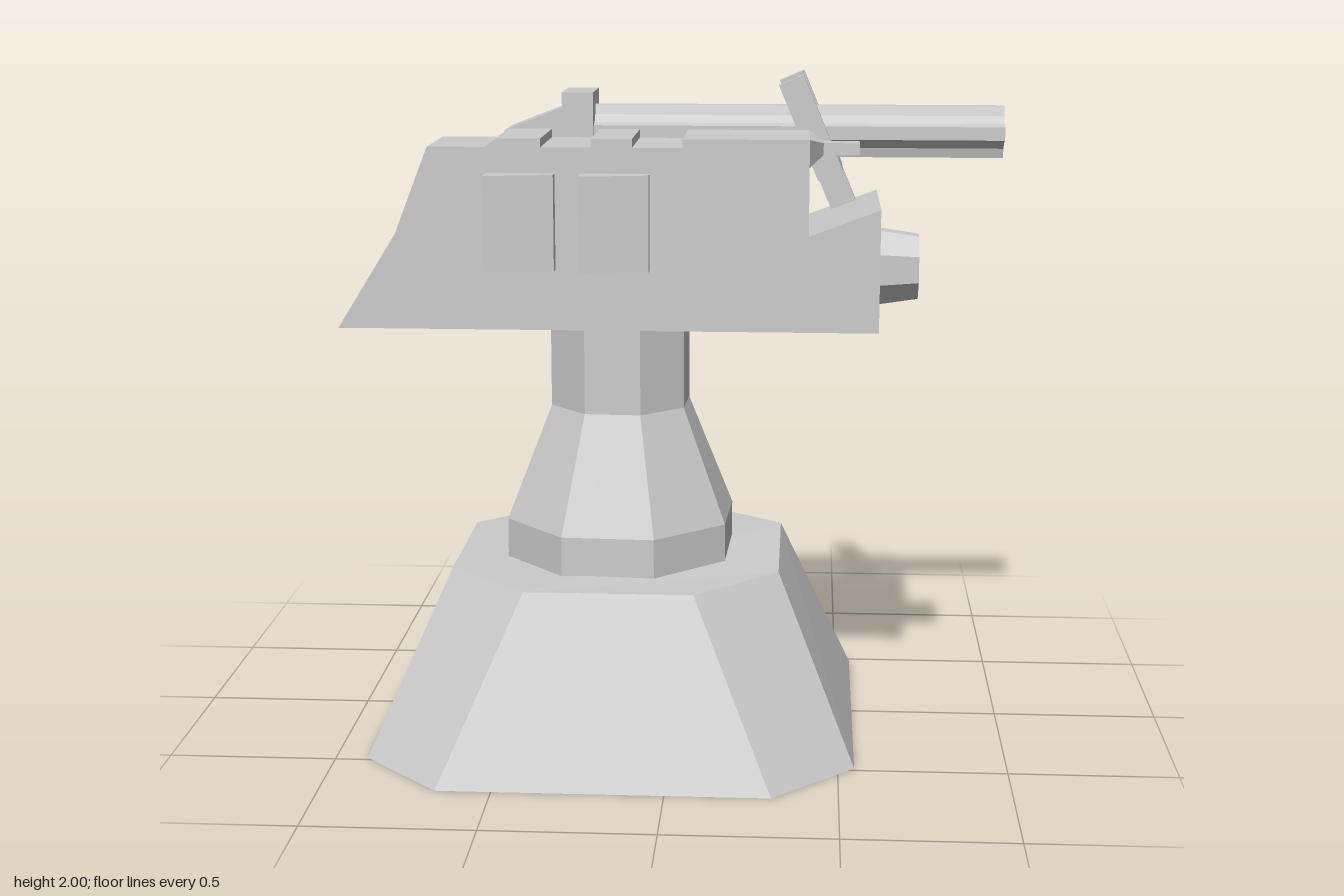
import * as THREE from 'three';

const grey = new THREE.MeshStandardMaterial({ color: 0xcccccc, flatShading: true });

// Closed solid through rings of points, each counter-clockwise seen from the last ring's side
function loft(rings) {
  const p = [];
  const tri = (a, b, c) => p.push(...a, ...b, ...c);
  const n = rings[0].length, last = rings[rings.length - 1];
  for (let r = 0; r < rings.length - 1; r++) {
    for (let i = 0; i < n; i++) {
      const j = (i + 1) % n, lo = rings[r], hi = rings[r + 1];
      tri(lo[i], lo[j], hi[j]);
      tri(lo[i], hi[j], hi[i]);
    }
  }
  for (let i = 1; i < n - 1; i++) {
    tri(rings[0][0], rings[0][i + 1], rings[0][i]);
    tri(last[0], last[i], last[i + 1]);
  }
  const g = new THREE.BufferGeometry();
  g.setAttribute('position', new THREE.Float32BufferAttribute(p, 3));
  g.computeVertexNormals();
  return g;
}

// Side profile (x, y) extruded from z0 to z1
function profile(points, z0, z1) {
  const shape = new THREE.Shape(points.map(([x, y]) => new THREE.Vector2(x, y)));
  return new THREE.ExtrudeGeometry(shape, { depth: z1 - z0, bevelEnabled: false }).translate(0, 0, z0);
}

// Box from its limits
function box(x0, x1, y0, y1, z0, z1) {
  return new THREE.BoxGeometry(x1 - x0, y1 - y0, z1 - z0)
    .translate((x0 + x1) / 2, (y0 + y1) / 2, (z0 + z1) / 2);
}

// Rectangular ring across the x axis
const rectX = (x, y0, y1, zBack, zFront, xTop = x) => [
  [x, y0, zFront], [x, y0, zBack], [xTop, y1, zBack], [xTop, y1, zFront],
];

export function createModel() {
  const model = new THREE.Group();
  const add = (name, geometry, parent = model) => {
    const mesh = new THREE.Mesh(geometry, grey);
    mesh.name = name;
    parent.add(mesh);
    return mesh;
  };
  const cx = -0.178;

  // Chamfered square base, tapering upward
  const baseRing = (h, c, y) => [
    [-c, h], [c, h], [h, c], [h, -c], [c, -h], [-c, -h], [-h, -c], [-h, c],
  ].map(([x, z]) => [cx + x, y, z]);
  const baseTop = baseRing(0.495, 0.25, 0.53);
  baseTop[3][1] = 0.545;
  add('base', loft([baseRing(0.727, 0.485, 0), baseTop]));

  // Eight-sided column, slightly turned
  const turn = Math.PI / 8 - 0.045;
  const column = [[0.363, 0.363, 0.52, 0.65], [0.22, 0.363, 0.65, 1], [0.22, 0.22, 1, 1.285]];
  const columnGroup = new THREE.Group();
  columnGroup.name = 'column';
  model.add(columnGroup);
  column.forEach(([rTop, rBottom, y0, y1], i) => {
    add('columnSection' + (i + 1),
      new THREE.CylinderGeometry(rTop, rBottom, y1 - y0, 8, 1, i === 1, turn)
        .translate(cx, (y0 + y1) / 2, 0), columnGroup);
  });

  // Lower body: narrows at the back toward the lens end
  const stations = [
    [-0.23, -0.26, 1.56], [0, -0.22, 1.56], [0.22, -0.197, 1.56], [0.39, -0.18, 1.56], [0.602, -0.16, 1.64],
  ];
  add('lowerBody', loft([
    rectX(-0.985, 1.28, 1.56, -0.26, 0.325, -0.81),
    ...stations.map(([x, zBack, y]) => rectX(x, 1.28, y, zBack, 0.325)),
  ]));

  // Upper housing with two grooves across its roof
  add('upperHousing', profile([
    [-0.81, 1.56], [0.395, 1.56], [0.395, 1.84], [0.03, 1.84], [0.03, 1.815], [-0.115, 1.815],
    [-0.115, 1.84], [-0.235, 1.84], [-0.235, 1.815], [-0.38, 1.815], [-0.38, 1.84],
    [-0.51, 1.84], [-0.54, 1.815], [-0.71, 1.815],
  ], 0.03, 0.325));

  // Tapered nose and short prong on the housing end
  add('housingNose', loft([
    rectX(0.395, 1.76, 1.84, 0.035, 0.325), rectX(0.435, 1.785, 1.82, 0.14, 0.21),
  ]));
  add('housingProng', box(0.43, 0.54, 1.785, 1.82, 0.14, 0.21));

  // Slanted side panels
  for (const x0 of [-0.54, -0.265]) {
    const x1 = x0 + 0.2;
    const ring = (y) => [[x0, y, 0.405], [x1, y, 0.367], [x1, y, 0.32], [x0, y, 0.32]];
    add('sidePanel', loft([ring(1.46), ring(1.74)]));
  }

  // Lens hood with a recessed opening
  const lens = add('lensHood', new THREE.LatheGeometry(
    [[0.118, 0], [0.1, 0.117], [0.079, 0.117], [0.07, 0.05], [0, 0.05]]
      .map(([r, y]) => new THREE.Vector2(r, y)), 8, Math.PI / 8));
  lens.rotation.z = -Math.PI / 2;
  lens.scale.z = 0.82;
  lens.position.set(0.6, 1.457, 0.183);

  // Sloped breech block and rear clamp
  add('breech', profile([[-0.71, 1.56], [-0.35, 1.56], [-0.35, 1.9], [-0.53, 1.83]], -0.19, -0.04));
  add('rearClamp', box(-0.355, -0.26, 1.55, 1.945, -0.21, -0.02));

  // Fluted barrel: four flat ridges with hollow curves between
  const star = new THREE.Shape();
  for (let q = 0; q < 4; q++) {
    for (let k = 0; k <= 3; k++) {
      const a = -Math.PI / 2 - (k / 3) * Math.PI / 2;
      const p = new THREE.Vector2(0.078 + 0.058 * Math.cos(a), 0.078 + 0.058 * Math.sin(a))
        .rotateAround(new THREE.Vector2(), q * Math.PI / 2);
      if (q + k === 0) star.moveTo(p.x, p.y);
      else star.lineTo(p.x, p.y);
    }
  }
  const barrel = add('barrel', new THREE.ExtrudeGeometry(star, { depth: 1.25, bevelEnabled: false }));
  barrel.rotation.y = Math.PI / 2;
  barrel.position.set(-0.27, 1.825, -0.115);

  // Leaning forked bracket that carries the barrel
  const bracket = new THREE.Group();
  bracket.name = 'barrelBracket';
  bracket.position.set(0.42, 1.79, -0.123);
  bracket.rotation.z = 0.4;
  model.add(bracket);
  for (const s of [-1, 1]) {
    const arm = add('bracketArm', box(-0.04, 0.04, -0.1, 0.212, -0.02, 0.02), bracket);
    arm.position.z = s * 0.103;
  }
  add('bracketBridge', box(-0.04, 0.04, -0.1, -0.065, -0.1, 0.1), bracket);
  add('bracketLeg', box(-0.04, 0.04, -0.22, -0.09, -0.01, 0.028), bracket);

  return model;
}
